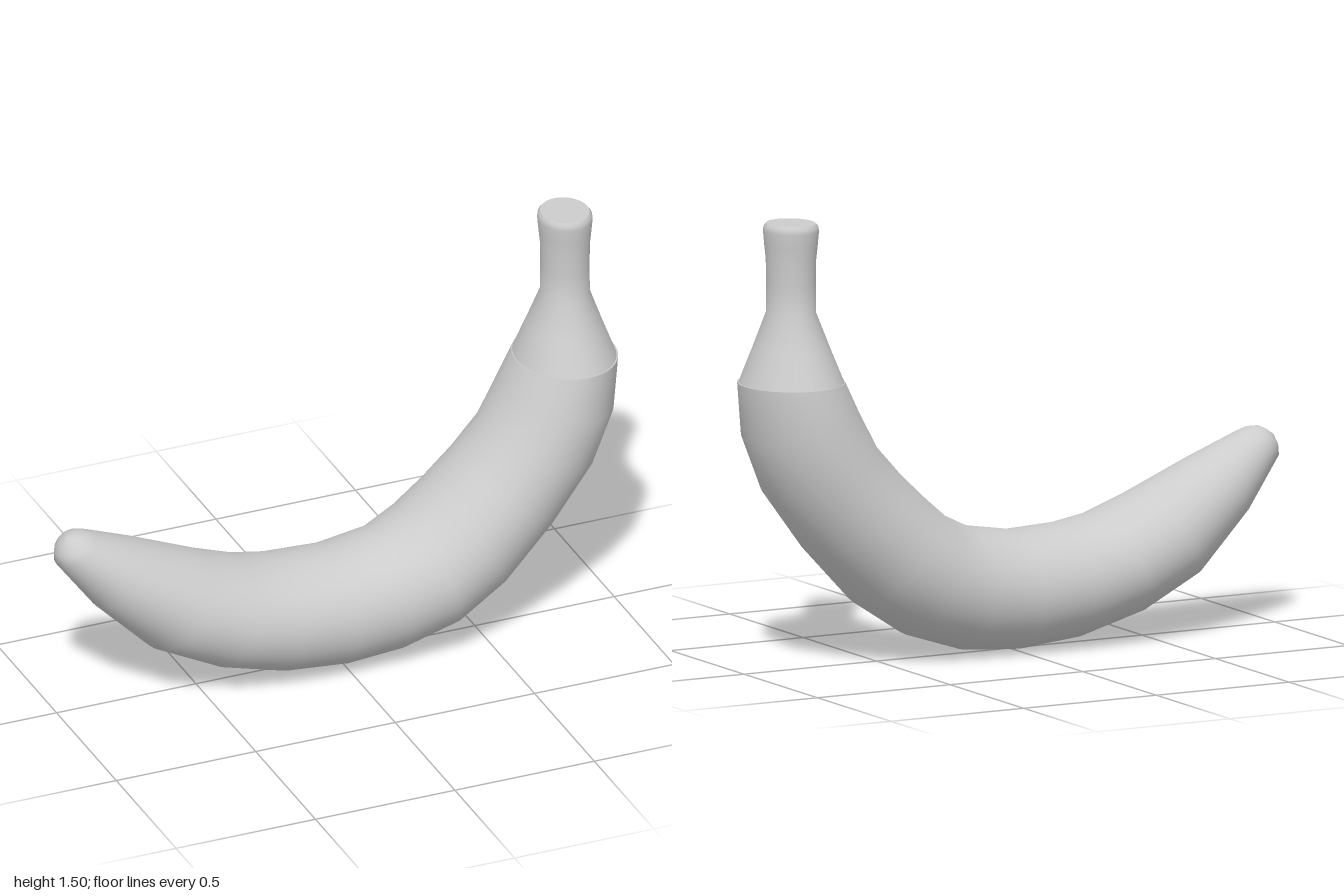
import * as THREE from 'three';

const SIDES = 40;

// Lofts closed elliptical rings: [outerX, outerY, innerX, innerY, halfDepth]
function loft(rings) {
  const pos = [], index = [];
  for (const [ox, oy, ix, iy, depth] of rings) {
    for (let j = 0; j < SIDES; j++) {
      const a = (j / SIDES) * Math.PI * 2, c = Math.cos(a);
      pos.push((ox + ix) / 2 + ((ix - ox) / 2) * c, (oy + iy) / 2 + ((iy - oy) / 2) * c, depth * Math.sin(a));
    }
  }
  for (let i = 0; i < rings.length - 1; i++) {
    for (let j = 0; j < SIDES; j++) {
      const k = (j + 1) % SIDES, a = i * SIDES, b = a + SIDES;
      index.push(a + j, a + k, b + j, a + k, b + k, b + j);
    }
  }
  const geo = new THREE.BufferGeometry();
  geo.setAttribute('position', new THREE.Float32BufferAttribute(pos, 3));
  geo.setIndex(index);
  geo.computeVertexNormals();
  return geo;
}

export function createModel() {
  const group = new THREE.Group();
  group.name = 'banana';
  const material = new THREE.MeshStandardMaterial({ color: 0xcccccc });
  const add = (name, geo) => {
    const mesh = new THREE.Mesh(geo, material);
    mesh.name = name;
    group.add(mesh);
  };

  // Curved body from the rounded tip to the shoulder
  add('body', loft([
    [-0.967, 0.655, -0.967, 0.655, 0],
    [-0.99, 0.632, -0.94, 0.668, 0.035],
    [-1.0, 0.6, -0.905, 0.667, 0.068],
    [-1.0, 0.565, -0.87, 0.655, 0.088],
    [-0.87, 0.39, -0.7, 0.585, 0.15],
    [-0.68, 0.2, -0.46, 0.48, 0.203],
    [-0.46, 0.09, -0.32, 0.428, 0.225],
    [-0.23, 0.025, -0.2, 0.408, 0.225],
    [-0.01, 0.004, -0.01, 0.4, 0.225],
    [0.19, 0.018, 0.16, 0.428, 0.225],
    [0.39, 0.083, 0.265, 0.48, 0.248],
    [0.57, 0.2, 0.35, 0.555, 0.243],
    [0.75, 0.39, 0.44, 0.64, 0.234],
    [0.9, 0.59, 0.53, 0.74, 0.225],
    [0.975, 0.78, 0.6, 0.865, 0.224],
    [0.995, 0.965, 0.65, 0.97, 0.197],
    [0.82, 0.968, 0.82, 0.968, 0],
  ].flatMap((r, i) => (i === 15 ? [r, r] : [r]))));

  // Upright stem: [height, half width, half depth]; repeated rings keep an edge crisp
  add('stem', loft([
    [0.963, 0.17, 0.196], [1.08, 0.125, 0.143], [1.2, 0.081, 0.09],
    [1.3, 0.08, 0.09], [1.38, 0.081, 0.091], [1.43, 0.086, 0.097],
    [1.475, 0.09, 0.101], [1.49, 0.088, 0.099], [1.5, 0.08, 0.09],
    [1.5, 0.08, 0.09], [1.5, 0, 0],
  ].map(([y, w, d]) => {
    const x = 0.82 + (0.003 * Math.min(1, (y - 0.963) / 0.237));
    return [x + w, y, x - w, y, d];
  })));

  return group;
}
